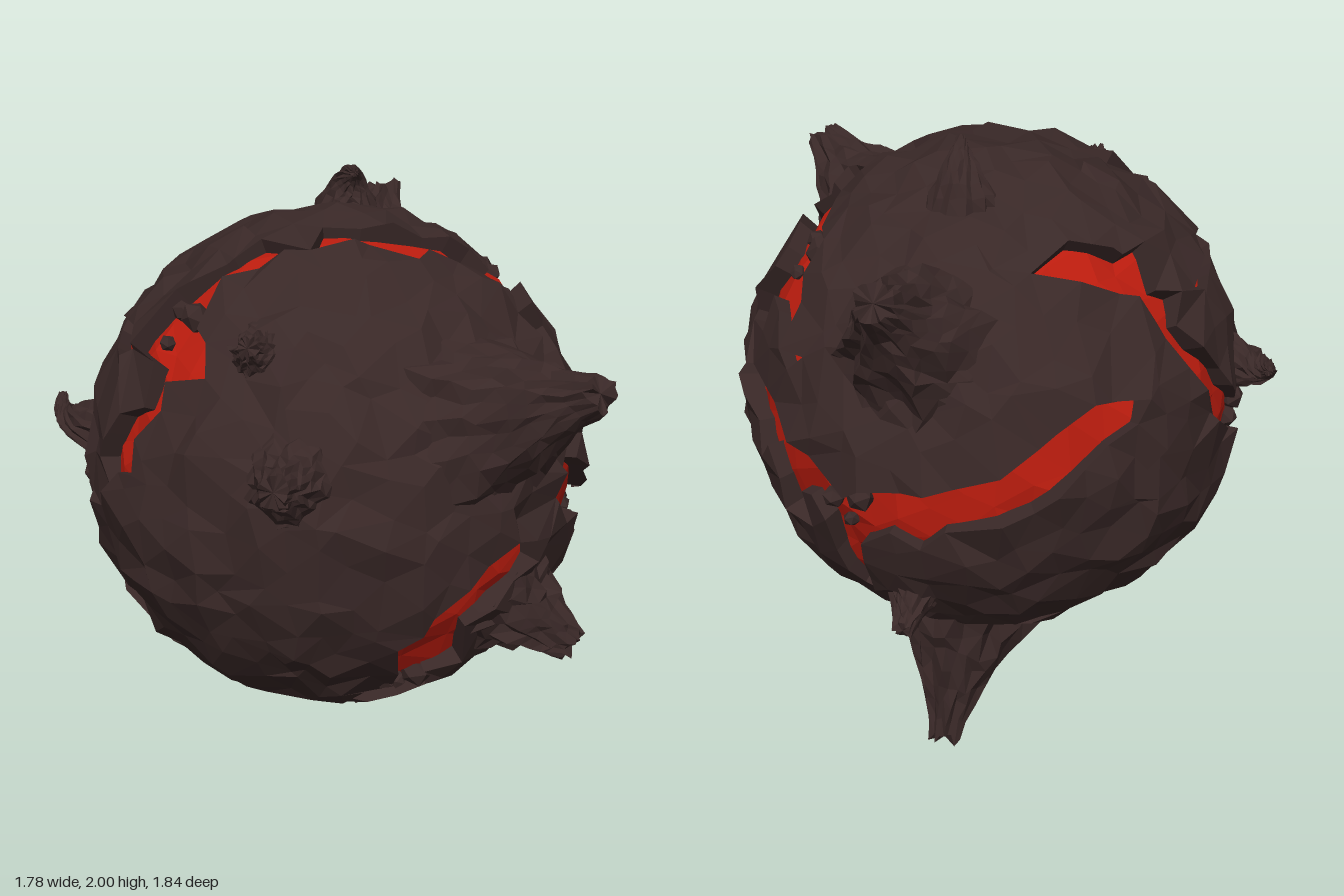
import * as THREE from 'three';
import { mergeVertices } from 'three/addons/utils/BufferGeometryUtils.js';

const V = (x, y, z) => new THREE.Vector3(x, y, z);
let seed = 7;
const rand = () => {
  seed = (seed * 16807) % 2147483647;
  return seed / 2147483647;
};
const jit = (a) => (rand() * 2 - 1) * a;

const rockMat = new THREE.MeshStandardMaterial({ color: 0x392827, flatShading: true });
const lavaMat = new THREE.MeshStandardMaterial({ color: 0xbb1c0e, flatShading: true });
const R = 0.765;

// Point on the ball: longitude from the front towards +x, latitude upwards, in degrees
const onBall = (lon, lat) => {
  const a = THREE.MathUtils.degToRad(lon), b = THREE.MathUtils.degToRad(lat);
  return V(Math.sin(a) * Math.cos(b), Math.sin(b), Math.cos(a) * Math.cos(b)).multiplyScalar(R);
};

// Cracks: half-width, then longitude and latitude along the path; the last point tapers
const cracks = [
  [0.05, [97, 50], [86, 65], [38, 77], [-43, 61], [-51, 47], [-37, 41], [-34, 30]],
  [0.065, [-34, 39], [-43, 23], [-53, 4]],
  [0.06, [97, 50], [125, 42], [136, 32], [150, 20]],
  [0.07, [131, 36], [118, 20]],
  [0.075, [97, 50], [90, 35], [83, 17], [80, 2], [92, -8], [106, -19], [102, -34], [90, -47], [71, -58]],
  [0.07, [106, -19], [116, -10]],
  [0.075, [55, -8], [39, -19], [34, -31], [37, -45], [18, -59]],
  [0.065, [167, -8], [150, -2], [141, 4], [119, 10]],
  [0.07, [167, -8], [191, -5], [207, 0], [224, 13], [235, 15]],
  [0.06, [150, -3], [148, -16]],
  [0.06, [167, -9], [165, -25], [165, -39]],
  [0.065, [-134, 49], [-110, 40], [-105, 25], [-95, 5], [-76, -6]],
  [0.06, [-66, -28], [-54, -43]],
  [0.05, [-62, 34], [-86, 31]],
  [0.06, [-147, -54], [-129, -48]],
];
const segments = cracks.flatMap(([width, ...path]) => path.slice(1).map((end, i) => ({
  line: new THREE.Line3(onBall(...path[i]), onBall(...end)),
  wa: width,
  wb: i === path.length - 2 ? width * 0.55 : width,
})));

// Wide pockets in the cracks: place and radius, pebbles lie in the first six
const pockets = [
  [-47, 44, 0.11], [106, -19, 0.1], [167, -9, 0.11], [34, -48, 0.12], [129, 40, 0.1], [-76, -6, 0.08],
  [97, 50, 0.12], [78, 2, 0.12],
].map(([lon, lat, w]) => ({ c: onBall(lon, lat), w }));

// Nearest crack or pocket: gap is negative inside it
function nearestCrack(p) {
  const best = { gap: Infinity };
  const test = (c, w) => {
    const gap = p.distanceTo(c) - w;
    if (gap < best.gap) Object.assign(best, { gap, c, w });
  };
  for (const { c, w } of pockets) test(c, w);
  for (const { line, wa, wb } of segments) {
    const t = line.closestPointToPointParameter(p, true);
    test(line.at(t, V()).setLength(R), wa + (wb - wa) * t);
  }
  return best;
}

function icosphere(radius, detail) {
  const g = new THREE.IcosahedronGeometry(radius, detail);
  g.deleteAttribute('normal');
  g.deleteAttribute('uv');
  return mergeVertices(g, 1e-4);
}

function meshFrom(name, positions, index) {
  const g = new THREE.BufferGeometry();
  g.setAttribute('position', new THREE.Float32BufferAttribute(positions, 3));
  g.setIndex(index);
  g.computeVertexNormals();
  const m = new THREE.Mesh(g, rockMat);
  m.name = name;
  return m;
}

// Rock shell, cut open along the cracks with walls going down
function makeCrust() {
  const ball = icosphere(R, 8);
  const pos = ball.attributes.position;
  const pts = [];
  for (let i = 0; i < pos.count; i++) {
    const p = V().fromBufferAttribute(pos, i).add(V(jit(0.036), jit(0.036), jit(0.036))).setLength(R);
    const { gap, c, w } = nearestCrack(p);
    const onRim = Math.abs(gap) < 0.045;
    if (onRim) p.sub(c).setLength(w).add(c);
    pts.push(p.setLength(R + (onRim ? 0.016 : 0.01) + jit(0.02)));
  }
  const n = pts.length, idx = ball.index.array, faces = [], edges = new Set();
  for (let i = 0; i < idx.length; i += 3) {
    const f = [idx[i], idx[i + 1], idx[i + 2]];
    const mid = V(0, 0, 0).add(pts[f[0]]).add(pts[f[1]]).add(pts[f[2]]).setLength(R);
    if (nearestCrack(mid).gap < 0) continue;
    faces.push(...f);
    f.forEach((a, k) => edges.add(a * n + f[(k + 1) % 3]));
  }
  for (const e of edges) {
    const a = Math.floor(e / n), b = e % n;
    if (!edges.has(b * n + a)) faces.push(b, a, a + n, b, a + n, b + n);
  }
  const inner = pts.map((p) => p.clone().setLength(0.67));
  return meshFrom('rockCrust', [...pts, ...inner].flatMap((p) => p.toArray()), faces);
}

// Glowing core seen through the cracks
function makeCore() {
  const g = icosphere(R, 7);
  const pos = g.attributes.position;
  for (let i = 0; i < pos.count; i++) {
    const p = V().fromBufferAttribute(pos, i).add(V(jit(0.025), jit(0.025), jit(0.025))).setLength(0.73 + jit(0.014));
    pos.setXYZ(i, p.x, p.y, p.z);
  }
  g.computeVertexNormals();
  const m = new THREE.Mesh(g, lavaMat);
  m.name = 'moltenCore';
  return m;
}

// Ridged horn with a flared foot and a broken tip
function makeHorn(name, base, tip, rBase, rTip, bend) {
  const a = V(...base), b = V(...tip);
  const c = bend ? V(...bend) : a.clone().lerp(b, 0.5);
  const curve = new THREE.QuadraticBezierCurve3(a, c, b);
  const sides = 24, rings = 8, positions = [], index = [];
  const ridge = Array.from({ length: sides }, (_, s) => (s % 2 ? 0.06 : -0.06) + jit(0.1));
  const ref = Math.abs(b.clone().sub(a).normalize().y) > 0.8 ? V(0, 0, 1) : V(0, 1, 0);
  if (bend) ref.set(1, 0, 1);
  for (let r = 0; r <= rings; r++) {
    const t = r / rings;
    const tangent = curve.getTangent(t);
    const u = V().crossVectors(ref, tangent).normalize();
    const v = V().crossVectors(tangent, u);
    const o = curve.getPoint(t);
    for (let s = 0; s < sides; s++) {
      const ang = ((s + jit(0.3)) / sides) * Math.PI * 2 + t * 0.5;
      const rad = (rTip + (rBase - rTip) * (1 - t) ** 1.35) * (1 + ridge[s] + jit(0.07));
      const p = o.clone().addScaledVector(u, Math.cos(ang) * rad).addScaledVector(v, Math.sin(ang) * rad);
      if (r > 0) p.addScaledVector(tangent, jit(rTip * 0.4));
      positions.push(...p.toArray());
      const k = r * sides + s, k2 = r * sides + ((s + 1) % sides);
      if (r < rings) index.push(k, k2, k + sides, k2, k2 + sides, k + sides);
      else index.push(k, k2, (rings + 1) * sides);
    }
  }
  positions.push(...b.toArray());
  return meshFrom(name, positions, index);
}

// Name, base, tip, base radius, tip radius, bend point of the hooks
const horns = [
  ['shoulderHorn', [0.49, 0.3, 0.37], [0.85, 0.49, 0.6], 0.27, 0.055],
  ['bottomHorn', [0, -0.64, -0.24], [0, -1.1, -0.42], 0.25, 0.05],
  ['backHorn', [0, 0.37, -0.57], [0, 0.61, -0.87], 0.25, 0.06],
  ['frontHorn', [0, 0.2, 0.7], [0, 0.25, 0.89], 0.14, 0.045],
  ['topHook', [-0.02, 0.7, -0.3], [0.02, 0.85, -0.2], 0.1, 0.014, [-0.02, 0.83, -0.31]],
  ['sideHook', [-0.7, 0.1, 0.17], [-0.87, 0.15, 0.05], 0.09, 0.014, [-0.86, 0.1, 0.17]],
  ['lowerHorn', [0.55, -0.3, 0.26], [0.79, -0.46, 0.28], 0.19, 0.05],
  ['lowerBackHorn', [0.01, -0.42, -0.58], [0, -0.51, -0.73], 0.1, 0.03],
  ['upperFrontHorn', [-0.12, 0.5, 0.52], [-0.13, 0.56, 0.62], 0.1, 0.03],
];

// Loose stones in the pockets
function makePebbles() {
  const group = new THREE.Group();
  group.name = 'pebbles';
  for (const { c } of pockets.slice(0, 6)) {
    const n = c.clone().normalize();
    const u = V(n.z, 0, -n.x).normalize(), v = V().crossVectors(n, u);
    [0.055, 0.04, 0.03].forEach((size, i) => {
      const m = new THREE.Mesh(new THREE.IcosahedronGeometry(size, 0), rockMat);
      const ang = i * 2.1 + rand();
      m.name = 'pebble';
      m.position.copy(n).multiplyScalar(0.74)
        .addScaledVector(u, Math.cos(ang) * 0.06).addScaledVector(v, Math.sin(ang) * 0.06);
      m.rotation.set(rand() * 3, rand() * 3, rand() * 3);
      m.scale.set(1, 0.8, 0.9);
      group.add(m);
    });
  }
  return group;
}

export function createModel() {
  seed = 7;
  const ball = new THREE.Group();
  ball.name = 'spikedBall';
  ball.add(makeCore(), makeCrust(), makePebbles());
  for (const h of horns) ball.add(makeHorn(...h));
  // Stand the lowest tip on the ground
  ball.position.y = -new THREE.Box3().setFromObject(ball, true).min.y;
  const model = new THREE.Group();
  model.add(ball);
  return model;
}
